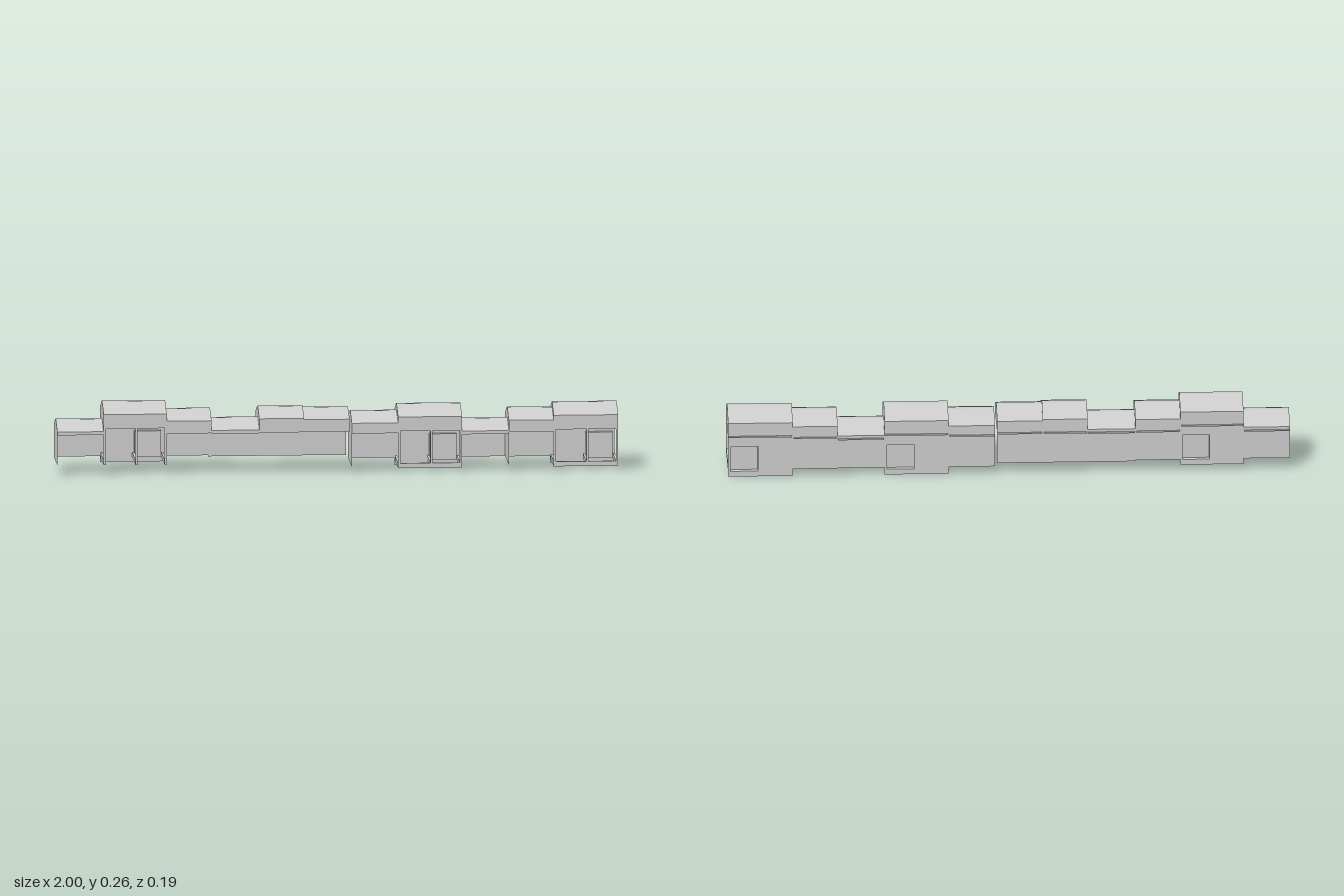
import * as THREE from 'three';

const FRONT = 0.1, BACK = -0.09;

// x0, x1, base of back wall, underside of roof body, eave, ridge, open timber bay?
const UNITS = [
  [-1.0, -0.835, 0.043, 0.15, 0.162, 0.194, false],
  [-0.835, -0.61, 0.022, 0.172, 0.223, 0.257, true],
  [-0.61, -0.45, 0.042, 0.152, 0.197, 0.228, false],
  [-0.45, -0.28, 0.038, 0.15, 0.162, 0.194, false],
  [-0.28, -0.12, 0.038, 0.152, 0.202, 0.233, false],
  [-0.12, 0.042, 0.038, 0.152, 0.197, 0.228, false],
  [0.05, 0.215, 0.026, 0.145, 0.182, 0.213, false],
  [0.215, 0.443, 0.0, 0.152, 0.203, 0.237, true],
  [0.443, 0.61, 0.027, 0.138, 0.15, 0.182, false],
  [0.61, 0.77, 0.026, 0.145, 0.187, 0.219, false],
  [0.77, 1.0, 0.0, 0.152, 0.203, 0.237, true],
];
const SIDE_WALLS = [0, 6, 9]; // units closed on their -x side

export function createModel() {
  const model = new THREE.Group();
  const grey = new THREE.MeshStandardMaterial({ color: 0xcccccc, flatShading: true });
  const thin = grey.clone();
  thin.side = THREE.DoubleSide;

  const add = (parent, name, geo, mat = grey) => {
    const mesh = new THREE.Mesh(geo, mat);
    mesh.name = name;
    parent.add(mesh);
    return mesh;
  };
  // Box given by its two extreme corners
  const box = (parent, name, x0, x1, y0, y1, z0, z1) =>
    add(parent, name, new THREE.BoxGeometry(x1 - x0, y1 - y0, z1 - z0))
      .position.set((x0 + x1) / 2, (y0 + y1) / 2, (z0 + z1) / 2);
  // Closed rectangle, mirrored in x so that a half turn makes it face the back
  const rect = (Type, x0, x1, y0, y1) => new Type([
    [-x0, y0], [-x1, y0], [-x1, y1], [-x0, y1],
  ].map(([x, y]) => new THREE.Vector2(x, y)));

  UNITS.forEach(([x0, x1, base, under, eave, ridge, open], i) => {
    const unit = new THREE.Group();
    unit.name = open ? 'timberBayUnit' : 'plainUnit';
    model.add(unit);

    // Roof body: fascia, sloped roof with a narrow flat ridge, gables and ceiling
    const profile = new THREE.Shape([
      [-FRONT, under], [-BACK, under], [-BACK, eave],
      [0.003, ridge], [-0.017, ridge], [-FRONT, eave],
    ].map(([x, y]) => new THREE.Vector2(x, y)));
    const roof = new THREE.ExtrudeGeometry(profile, { depth: x1 - x0, bevelEnabled: false });
    roof.rotateY(Math.PI / 2).translate(x0, 0, 0);
    add(unit, 'roof', roof);

    // Thin back wall, with a window opening in the timber bays
    const wall = rect(THREE.Shape, x0, x1, base, under);
    const mid = (x0 + x1) / 2 + 0.005;
    const w0 = mid + 0.004, w1 = x1 - 0.008, wb = base + 0.02, wt = base + 0.113;
    if (open) wall.holes.push(rect(THREE.Path, w0, w1, wb, wt));
    const wallGeo = new THREE.ShapeGeometry(wall).rotateY(Math.PI).translate(0, 0, BACK);
    add(unit, 'backWall', wallGeo, thin);
    box(unit, 'backMoulding', x0 + 0.002, x1 - 0.002, under - 0.003, under + 0.002, BACK - 0.005, BACK);

    if (open) {
      const depth = 0.018, inner = BACK + depth;
      // Recessed window pane
      const pane = new THREE.ShapeGeometry(rect(THREE.Shape, w0, w1, wb, wt));
      add(unit, 'windowPane', pane.rotateY(Math.PI).translate(0, 0, inner), thin);
      // Window reveals
      [w0, w1].forEach((x) => {
        add(unit, 'windowJamb', new THREE.PlaneGeometry(depth, wt - wb).rotateY(Math.PI / 2), thin)
          .position.set(x, (wb + wt) / 2, BACK + depth / 2);
      });
      [wb, wt].forEach((y) => {
        add(unit, 'windowLedge', new THREE.PlaneGeometry(w1 - w0, depth).rotateX(Math.PI / 2), thin)
          .position.set((w0 + w1) / 2, y, BACK + depth / 2);
      });
      // Slender front posts, each with a floor sill running back to the window line
      const t = 0.008, s0 = base + 0.019, s1 = base + 0.036;
      [x0, mid - t / 2, x1 - t].forEach((x) => {
        box(unit, 'frontPost', x, x + t, s0, under, FRONT - t, FRONT);
        box(unit, 'crossSill', x, x + t, s0, s1, inner, FRONT - t);
      });
      if (i !== 1) box(unit, 'frontSill', x0, x1, s0, s1, FRONT - t, FRONT);
    }

    // Closing side wall
    if (SIDE_WALLS.includes(i)) {
      add(unit, 'sideWall',
        new THREE.PlaneGeometry(FRONT - BACK, under - base).rotateY(Math.PI / 2), thin)
        .position.set(x0, (base + under) / 2, (FRONT + BACK) / 2);
    }
  });
  return model;
}
